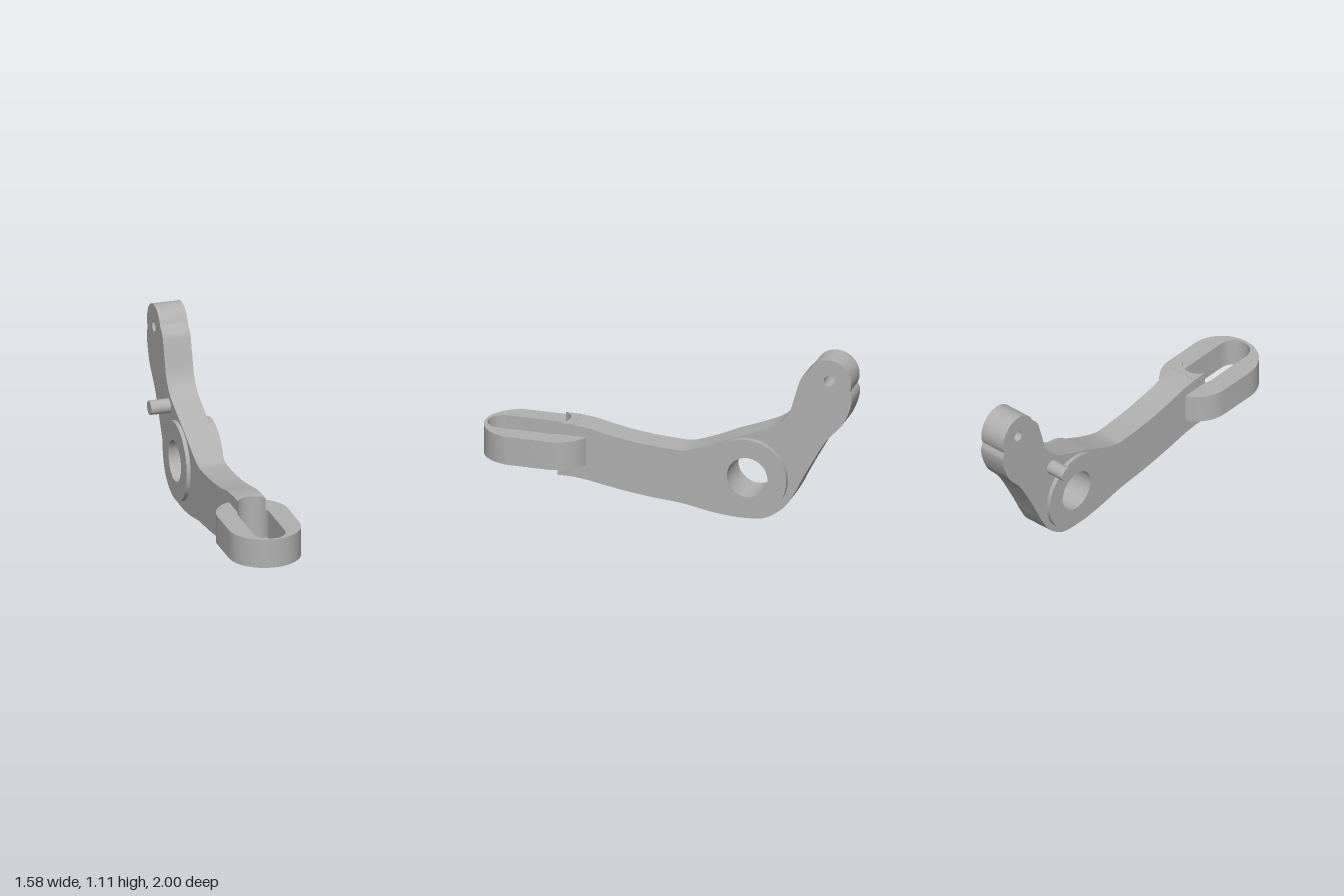
import * as THREE from 'three';
import { toCreasedNormals } from 'three/addons/utils/BufferGeometryUtils.js';

const HALF = 0.089; // half thickness of the lever plate
const v = (list) => list.map(([x, y]) => new THREE.Vector2(x, y));

function circle(x, y, r) {
  return new THREE.Path().absarc(x, y, r, 0, Math.PI * 2, false);
}

// Stadium outline between two centres on the x axis
function stadium(target, x0, x1, r) {
  target.absarc(x1, 0, r, -Math.PI / 2, Math.PI / 2, false);
  target.absarc(x0, 0, r, Math.PI / 2, Math.PI * 1.5, false);
  target.closePath();
  return target;
}

function extrude(shape, from, to) {
  const g = new THREE.ExtrudeGeometry(shape, { depth: to - from, bevelEnabled: false, curveSegments: 28 });
  g.translate(0, 0, from);
  return toCreasedNormals(g, 0.45);
}

export function createModel() {
  const model = new THREE.Group();
  model.name = 'leverArm';
  const metal = new THREE.MeshStandardMaterial({ color: 0xb0b0b0 });
  metal.name = 'grey metal';

  const add = (name, geometry) => {
    const mesh = new THREE.Mesh(geometry, metal);
    mesh.name = name;
    model.add(mesh);
    return mesh;
  };

  // Bent plate with a round head, drawn in its own plane
  const arm = new THREE.Shape();
  arm.moveTo(-0.6, 0.138);
  arm.lineTo(-0.6, 0.482);
  arm.splineThru(v([[-0.5, 0.472], [-0.36, 0.442], [-0.17, 0.413], [0.06, 0.398], [0.15, 0.408],
    [0.284, 0.458], [0.42, 0.52], [0.58, 0.583], [0.715, 0.65], [0.788, 0.74], [0.83, 0.87],
    [0.86, 0.965], [0.885, 0.998], [0.916, 1.029]]));
  arm.absarc(1.045, 0.975, 0.14, 2.75, -0.43, true);
  arm.splineThru(v([[1.188, 0.87], [1.172, 0.79], [1.125, 0.69], [1.02, 0.575], [0.945, 0.44],
    [0.87, 0.3], [0.825, 0.21], [0.77, 0.12], [0.7, 0.055], [0.62, 0.012], [0.52, 0]]
    .map(([x, y]) => (y === 0.575 ? [1.025, 0.575] : [x, y]))));
  arm.lineTo(0.42, 0);
  arm.splineThru(v([[0.28, 0.016], [0.1, 0.048], [-0.12, 0.068], [-0.34, 0.098], [-0.5, 0.127], [-0.6, 0.138]]));
  arm.holes.push(circle(0.53, 0.285, 0.2), circle(1.045, 0.975, 0.035));
  add('arm', extrude(arm, -HALF, HALF));

  // Arm end, hollowed to follow the loop opening
  const end = new THREE.Shape();
  const a = Math.asin(HALF / 0.1);
  end.moveTo(-0.6, -HALF);
  end.lineTo(-0.6, HALF);
  end.absarc(-0.741, 0, 0.1, a, -a, true);
  end.closePath();
  add('armEnd', extrude(end, 0.139, 0.484)).rotation.x = -Math.PI / 2;

  // Slotted loop lying flat around the arm end
  const loop = stadium(new THREE.Shape(), -0.958, -0.72, 0.226);
  loop.holes.push(stadium(new THREE.Path(), -1.066, -0.741, 0.1));
  add('slottedLoop', extrude(loop, 0.225, 0.41)).rotation.x = -Math.PI / 2;

  // Pivot collar standing proud of both faces
  const collar = new THREE.Shape().absarc(0.53, 0.285, 0.25, 0, Math.PI * 2, false);
  collar.holes.push(circle(0.53, 0.285, 0.13));
  add('pivotCollar', extrude(collar, -0.114, 0.125));

  // Small pin on the back face
  const pin = add('pin', new THREE.CylinderGeometry(0.045, 0.045, 0.135, 32));
  pin.rotation.x = Math.PI / 2;
  pin.position.set(0.733, 0.57, -0.1475);

  // Turn the whole part so it runs diagonally
  model.rotation.y = Math.acos(0.6);
  const root = new THREE.Group();
  root.name = 'bellcrank';
  root.add(model);
  return root;
}
